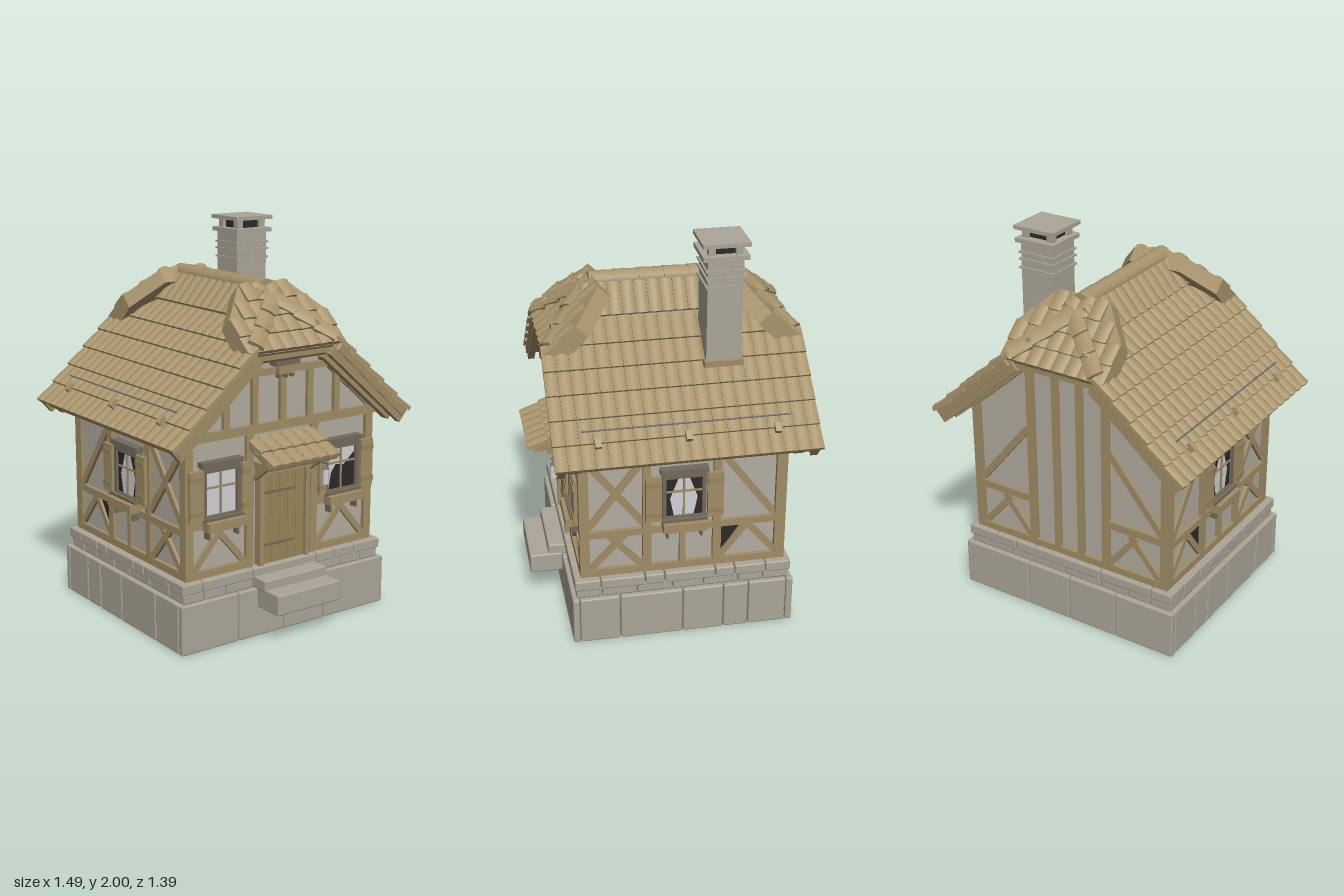
import * as THREE from 'three';
import { mergeGeometries } from 'three/addons/utils/BufferGeometryUtils.js';
import { RoundedBoxGeometry } from 'three/addons/geometries/RoundedBoxGeometry.js';

const mat = (name, color) => Object.assign(new THREE.MeshStandardMaterial({ color }), { name });
const M = {
  tile: mat('roof tile', 0xa8946c), timber: mat('timber', 0xa08d66), door: mat('door wood', 0x988559),
  plaster: mat('plaster', 0xb2ada0), stone: mat('stone', 0xaca698), trim: mat('dark trim', 0x736a5a),
  glass: mat('pale glass', 0xd2d2d6), dark: mat('dark opening', 0x2c2a27), metal: mat('metal', 0x6c7078),
};

const V = (x, y, z) => new THREE.Vector3(x, y, z);
function add(parent, name, geo, material, x = 0, y = 0, z = 0) {
  const m = new THREE.Mesh(geo, material);
  m.name = name;
  m.position.set(x, y, z);
  parent.add(m);
  return m;
}
function group(parent, name, x = 0, y = 0, z = 0, ry = 0, rx = 0) {
  const g = new THREE.Group();
  g.name = name;
  g.position.set(x, y, z);
  g.rotation.set(rx, ry, 0, 'YXZ');
  parent.add(g);
  return g;
}
const box = (p, name, m, w, h, d, x, y, z) => add(p, name, new THREE.BoxGeometry(w, h, d), m, x, y, z);
// straight bar between two points
function bar(p, name, a, b, w, d, m) {
  const dir = b.clone().sub(a);
  const mesh = box(p, name, m, w, dir.length(), d, 0, 0, 0);
  mesh.position.copy(a).add(b).multiplyScalar(0.5);
  mesh.quaternion.setFromUnitVectors(V(0, 1, 0), dir.normalize());
}
function prism(pts, depth) {
  const s = new THREE.Shape(pts.map(([x, y]) => new THREE.Vector2(x, y)));
  return new THREE.ExtrudeGeometry(s, { depth, bevelEnabled: false });
}

// arched roof tile: x across, z down the slope
function tileGeo(w, l) {
  const g = new THREE.BoxGeometry(w * 0.98, 0.02, l * 1.1, 6, 1, 1);
  const p = g.attributes.position;
  for (let i = 0; i < p.count; i++) {
    const c = Math.cos(Math.PI * p.getX(i) / w);
    p.setY(i, p.getY(i) + 0.011 * c);
    if (p.getZ(i) > 0) p.setZ(i, p.getZ(i) + 0.005 * c);
  }
  g.computeVertexNormals();
  return g.rotateX(-0.1);
}
// tiles: list of [across, down, turn, lift]
function tileField(p, name, w, l, list) {
  const base = tileGeo(w, l);
  add(p, name, mergeGeometries(list.map(([u, s, turn = 0, lift = 0]) =>
    base.clone().rotateY(turn).translate(u, 0.008 + lift, s))), M.tile);
}
function grid(cols, rows, w, l, keep = () => true) {
  const out = [];
  for (let r = 0; r < rows; r++) for (let c = 0; c < cols; c++) {
    const u = (c - (cols - 1) / 2) * w, s = (r + 0.5) * l;
    if (keep(u, s)) out.push([u, s]);
  }
  return out;
}

// ring of stone blocks, split at the given cuts
function course(p, name, X, zf, zb, y0, y1, d, cutsX, cutsZ) {
  const block = (w, dd, x, z) => add(p, name,
    new RoundedBoxGeometry(w - 0.003, y1 - y0, dd, 1, 0.008), M.stone, x, (y0 + y1) / 2, z);
  const xs = [-X, ...cutsX, X], zs = [zb + d, ...cutsZ, zf - d];
  for (let i = 1; i < xs.length; i++) for (const z of [zf - d / 2, zb + d / 2])
    block(xs[i] - xs[i - 1], d, (xs[i] + xs[i - 1]) / 2, z);
  for (let i = 1; i < zs.length; i++) for (const s of [-1, 1])
    block(d, zs[i] - zs[i - 1] - 0.003, s * (X - d / 2), (zs[i] + zs[i - 1]) / 2);
}

// flat timber on a wall: [x1, y1, x2, y2, width]
function timbers(wall, list, sgn = 1) {
  for (const [x1, y1, x2, y2, w = 0.042] of list) {
    const diagonal = x1 !== x2 && y1 !== y2;
    bar(wall, 'timber', V(sgn * x1, y1, 0.004), V(sgn * x2, y2, 0.004), w, diagonal ? 0.026 : 0.036, M.timber);
  }
}

function windowUnit(wall, cx, shutters) {
  const g = group(wall, 'window', cx, 0, 0);
  box(g, 'pane', M.glass, 0.19, 0.23, 0.008, 0, 0.77, 0.012);
  for (const s of [-1, 1]) {
    box(g, 'frameSide', M.trim, 0.02, 0.25, 0.035, s * 0.1, 0.77, 0.015);
    box(g, 'frameRail', M.trim, 0.22, 0.02, 0.035, 0, 0.77 + s * 0.117, 0.015);
    box(g, 'boxBracket', M.trim, 0.012, 0.06, 0.04, s * 0.085, 0.58, 0.03);
  }
  box(g, 'mullion', M.timber, 0.01, 0.23, 0.02, 0, 0.77, 0.014);
  box(g, 'crossBar', M.timber, 0.19, 0.01, 0.02, 0, 0.8, 0.014);
  box(g, 'lintel', M.trim, 0.24, 0.025, 0.05, 0, 0.92, 0.02);
  box(g, 'lintelCap', M.trim, 0.21, 0.02, 0.04, 0, 0.9, 0.016);
  box(g, 'sill', M.trim, 0.23, 0.015, 0.06, 0, 0.65, 0.025);
  box(g, 'flowerBox', M.timber, 0.22, 0.045, 0.065, 0, 0.618, 0.045);
  for (const [x, w] of shutters) {
    box(g, 'shutter', M.timber, w, 0.25, 0.018, x, 0.775, 0.035);
    for (const y of [0.69, 0.86]) box(g, 'shutterBatten', M.door, w, 0.025, 0.012, x, y, 0.044);
  }
  return g;
}

function buildWalls(root) {
  const house = group(root, 'house');
  add(house, 'plasterBody', prism([[-0.56, 0.33], [0.56, 0.33], [0.56, 1.12], [0.24, 1.4], [-0.24, 1.4], [-0.56, 1.12]], 1.0),
    M.plaster, 0, 0, -0.54);

  // front wall
  const front = group(house, 'frontWall', 0, 0, 0.46);
  const half = [[0.56, 0.35, 0.56, 1.05, 0.045], [0.2, 0.35, 0.2, 1.03], [0.2, 0.62, 0.58, 0.62, 0.04], [0.2, 0.37, 0.58, 0.37, 0.04],
    [0.53, 0.39, 0.36, 0.59, 0.032], [0.23, 0.39, 0.4, 0.59, 0.032], [0.34, 1.07, 0.34, 1.28, 0.035],
    [0.17, 1.07, 0.17, 1.32, 0.035], [0.57, 1.08, 0.24, 1.37, 0.045]];
  timbers(front, half); timbers(front, half, -1);
  timbers(front, [[-0.6, 1.05, 0.6, 1.05, 0.045], [-0.28, 1.325, 0.28, 1.325, 0.035], [0, 1.07, 0, 1.32, 0.035], [-0.24, 1.39, 0.24, 1.39, 0.04]]);
  windowUnit(front, -0.375, [[0.135, 0.045], [-0.155, 0.08]]);
  const darkWin = windowUnit(front, 0.375, [[-0.135, 0.045], [0.155, 0.08]]);
  add(darkWin, 'darkPane', prism([[-0.075, 0.66], [0.09, 0.66], [0.09, 0.84], [0.02, 0.78], [-0.03, 0.79], [-0.06, 0.75]], 0.003), M.dark, 0, 0, 0.016);
  box(front, 'ventPlate', M.trim, 0.15, 0.025, 0.05, 0, 1.365, 0.03);
  box(front, 'ventBlock', M.timber, 0.1, 0.05, 0.04, 0, 1.335, 0.03);
  for (const x of [-0.04, 0, 0.04]) box(front, 'ventPeg', M.trim, 0.015, 0.03, 0.03, x, 1.305, 0.03);

  // door with frame, planks and straps
  for (const s of [-1, 1]) box(front, 'doorPost', M.timber, 0.025, 0.5, 0.05, s * 0.143, 0.6, 0.02);
  box(front, 'doorLintel', M.timber, 0.32, 0.05, 0.06, 0, 0.845, 0.022);
  for (let i = 0; i < 5; i++) box(front, 'doorPlank', M.door, 0.05, 0.47, 0.025, (i - 2) * 0.052, 0.585, 0.014);
  for (const y of [0.45, 0.72]) box(front, 'doorStrap', M.trim, 0.2, 0.012, 0.006, -0.03, y, 0.029);

  // tiled awning
  const awning = group(front, 'awning', 0, 0.99, 0.005, 0, 0.445);
  tileField(awning, 'awningTiles', 0.07, 0.112, grid(6, 2, 0.07, 0.112));
  box(awning, 'awningBoard', M.timber, 0.42, 0.02, 0.2, 0, -0.012, 0.11);
  for (const s of [-1, 1]) {
    bar(front, 'awningStrut', V(s * 0.17, 0.8, 0.015), V(s * 0.17, 0.895, 0.15), 0.02, 0.02, M.timber);
    bar(front, 'awningArm', V(s * 0.17, 0.88, 0), V(s * 0.17, 0.88, 0.17), 0.02, 0.02, M.timber);
  }
  // hanging lantern
  bar(front, 'lanternArm', V(0.21, 0.835, 0), V(0.21, 0.835, 0.11), 0.008, 0.008, M.metal);
  add(front, 'lanternGlass', new THREE.CylinderGeometry(0.017, 0.02, 0.075, 6), M.glass, 0.21, 0.767, 0.1);
  add(front, 'lanternCap', new THREE.ConeGeometry(0.02, 0.025, 6), M.metal, 0.21, 0.817, 0.1);

  // back wall
  const back = group(house, 'backWall', 0, 0, -0.54, Math.PI);
  const backHalf = [[0.56, 0.35, 0.56, 1.11, 0.045], [0.22, 0.35, 0.22, 1.4], [0.07, 0.35, 0.07, 1.4, 0.035], [0.2, 0.62, 0.58, 0.62, 0.04],
    [0.53, 0.39, 0.36, 0.59, 0.032], [0.24, 0.39, 0.4, 0.59, 0.032], [0.54, 0.65, 0.24, 1.02, 0.036], [0.57, 1.08, 0.24, 1.37, 0.045]];
  timbers(back, backHalf); timbers(back, backHalf, -1);
  timbers(back, [[-0.58, 0.37, 0.58, 0.37, 0.04], [-0.24, 1.39, 0.24, 1.39, 0.04]]);

  // side walls, mirrored
  for (const s of [1, -1]) {
    const side = group(house, s > 0 ? 'leftWall' : 'rightWall', s * 0.56, 0, 0, s * Math.PI / 2);
    timbers(side, [[-0.455, 0.35, -0.455, 1.08, 0.045], [-0.145, 0.35, -0.145, 1.08], [0.21, 0.35, 0.21, 1.08], [0.53, 0.35, 0.53, 1.08, 0.045],
      [-0.475, 0.37, 0.55, 0.37, 0.04], [-0.475, 0.59, 0.55, 0.59, 0.036], [-0.475, 1.04, 0.55, 1.04, 0.05],
      [-0.435, 0.63, -0.16, 0.99, 0.034], [-0.435, 0.99, -0.16, 0.63, 0.034], [-0.43, 0.39, -0.25, 0.58, 0.032], [-0.17, 0.39, -0.34, 0.58, 0.032],
      [0.23, 0.99, 0.51, 0.61, 0.034], [0.23, 0.4, 0.37, 0.58, 0.032], [0.51, 0.4, 0.36, 0.58, 0.032], [0.035, 0.39, 0.035, 0.58, 0.03]], s);
    add(side, 'darkPanel', prism([[s * 0.23, 0.42], [s * 0.34, 0.58], [s * 0.23, 0.58]], 0.005), M.dark);
    const w = windowUnit(side, s * 0.04, [[-0.155, 0.08], [0.155, 0.08]]);
    for (const e of [-1, 1])
      add(w, 'darkPane', prism([[e * 0.095, 0.66], [e * 0.095, 0.88], [e * 0.025, 0.88], [e * 0.07, 0.76], [e * 0.05, 0.66]], 0.003), M.dark, 0, 0, 0.016);
  }
}

function buildRoof(root) {
  const roof = group(root, 'roof', 0, 0, -0.045);
  const pitch = Math.atan(0.9), hipPitch = 0.803;
  for (const k of [0, 1]) {
    const turn = k * Math.PI, sgn = k ? -1 : 1;
    // long slope
    const slope = group(roof, 'roofSlope', sgn * 0.15, 1.55, 0, sgn * Math.PI / 2, pitch);
    tileField(slope, 'slopeTiles', 0.065, 0.1265, grid(20, 6, 0.065, 0.1265,
      (u, s) => Math.abs(u) < 0.66 - Math.max(0, 1.55 - s * 0.669 - 1.46) * 0.965));
    const board = prism([[-0.64, 0.755], [-0.64, 0.165], [-0.42, -0.19], [0.42, -0.19], [0.64, 0.165], [0.64, 0.755]], 0.035);
    add(slope, 'roofBoard', board.rotateX(Math.PI / 2), M.timber, 0, -0.003, 0);
    add(slope, 'snowRail', new THREE.CylinderGeometry(0.004, 0.004, 1.01, 6).rotateZ(Math.PI / 2), M.metal, 0, 0.042, 0.582);
    for (const u of [-0.435, 0, 0.435]) box(slope, 'snowRailBracket', M.tile, 0.03, 0.04, 0.045, u, 0.03, 0.645);
    // steeper tiles beside the ridge
    const flank = group(roof, 'ridgeFlank', sgn * 0.05, 1.695, 0, sgn * Math.PI / 2, 0.95);
    tileField(flank, 'flankTiles', 0.065, 0.15, grid(13, 1, 0.065, 0.15));

    // half-hip hood at the gable end
    const hood = group(roof, 'hipHood', 0, 1.72, sgn * 0.35, turn, hipPitch);
    const slab = prism([[-0.295, 0.395], [-0.295, 0.185], [-0.15, -0.005], [0.15, -0.005], [0.295, 0.185], [0.295, 0.395]], 0.085);
    add(hood, 'hoodSlab', slab.rotateX(Math.PI / 2), M.tile, 0, 0.004, 0);
    tileField(hood, 'hoodTiles', 0.074, 0.097, grid(8, 4, 0.074, 0.097, (u, s) => Math.abs(u) < 0.125 + s * 0.79));
    const caps = [];
    for (const e of [-1, 1]) for (let i = 0; i < 3; i++) caps.push([e * (0.04 + i * 0.08), 0.14 + i * 0.087, e * 0.747, 0.018]);
    tileField(hood, 'hipCaps', 0.085, 0.12, caps);

    // gable boards under the roof edge
    const gable = group(roof, 'gableBoards', 0, 0, sgn * 0.615, turn);
    for (const e of [-1, 1]) {
      bar(gable, 'bargeBoard', V(e * 0.7, 1.018, 0), V(e * 0.23, 1.425, 0), 0.085, 0.035, M.timber);
      bar(gable, 'innerRafter', V(e * 0.67, 1.015, -0.07), V(e * 0.23, 1.39, -0.07), 0.06, 0.05, M.timber);
    }
    box(gable, 'hoodBeam', M.timber, 0.5, 0.045, 0.06, 0, 1.425, -0.03);
  }
  // ridge cap segments
  for (let i = 0; i < 6; i++)
    add(roof, 'ridgeCap', new THREE.CylinderGeometry(0.05, 0.046, 0.13, 12).rotateX(Math.PI / 2), M.tile, 0, 1.703, (i - 2.5) * 0.125);
}

function buildChimney(root) {
  const c = group(root, 'chimney', 0.293, 0, -0.27);
  box(c, 'shaft', M.stone, 0.19, 0.6, 0.175, 0, 1.62, 0);
  box(c, 'flashing', M.timber, 0.21, 0.03, 0.195, 0.006, 1.385, 0);
  for (const y of [1.78, 1.825, 1.86]) box(c, 'band', M.stone, 0.207, 0.01, 0.195, 0, y, 0);
  box(c, 'collar', M.stone, 0.225, 0.022, 0.225, 0, 1.925, 0);
  box(c, 'smokeOpening', M.dark, 0.14, 0.05, 0.13, 0, 1.958, 0);
  for (const x of [-1, 1]) for (const z of [-1, 1]) box(c, 'capPost', M.stone, 0.035, 0.05, 0.035, x * 0.072, 1.958, z * 0.066);
  box(c, 'cap', M.stone, 0.232, 0.02, 0.232, 0, 1.99, 0);
}

function buildBase(root) {
  const base = group(root, 'stoneBase');
  course(base, 'foundationBlock', 0.637, 0.53, -0.603, 0, 0.252, 0.035, [-0.3, -0.02, 0.235], [-0.37, -0.24, -0.03, 0.29]);
  course(base, 'lowerCourse', 0.612, 0.508, -0.58, 0.25, 0.3, 0.13, [-0.49, -0.36, -0.2, 0.02, 0.22, 0.36, 0.5], [-0.32, -0.14, 0.02, 0.2]);
  course(base, 'upperCourse', 0.622, 0.515, -0.59, 0.297, 0.352, 0.13, [-0.5, -0.2, 0.2, 0.32, 0.45], [-0.3, -0.2, 0.06, 0.16]);
  box(base, 'floor', M.dark, 1.1, 0.02, 0.98, 0, 0.31, -0.035);
  add(base, 'upperStep', new RoundedBoxGeometry(0.39, 0.06, 0.13, 1, 0.008), M.stone, 0, 0.28, 0.535);
  add(base, 'lowerStep', new RoundedBoxGeometry(0.39, 0.105, 0.17, 1, 0.008), M.stone, 0.007, 0.208, 0.613);
}

export function createModel() {
  const root = new THREE.Group();
  root.name = 'cottage';
  buildBase(root);
  buildWalls(root);
  buildRoof(root);
  buildChimney(root);
  return root;
}
